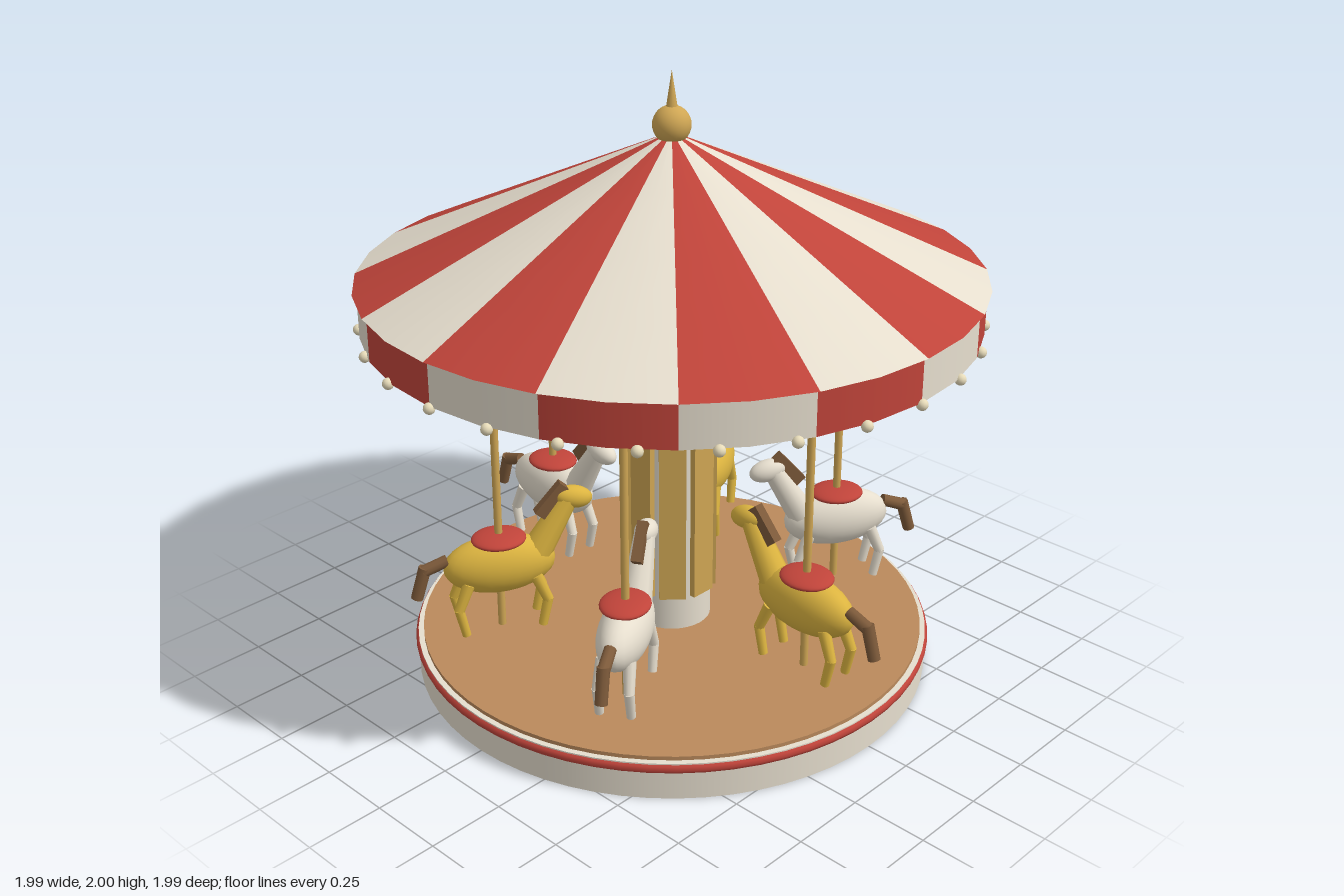
import * as THREE from 'three';

const mat = (name, color) => Object.assign(new THREE.MeshStandardMaterial({ color }), { name });
const M = {
  cream: mat('cream', 0xe6dece),
  red: mat('red', 0xc0443a),
  gold: mat('gold', 0xcfa654),
  yellow: mat('horse yellow', 0xdcb440),
  brown: mat('mane brown', 0x7d5a3a),
  wood: mat('floor wood', 0xbb8a5c),
  bulb: mat('bulb glow', 0xeee2bf),
};
const TAU = Math.PI * 2;

function add(parent, name, geo, material, x = 0, y = 0, z = 0) {
  const m = new THREE.Mesh(geo, material);
  m.name = name;
  m.position.set(x, y, z);
  parent.add(m);
  return m;
}

// Upright cylinder from y0 to y1
function drum(parent, name, r, y0, y1, material, sides = 64) {
  return add(parent, name, new THREE.CylinderGeometry(r, r, y1 - y0, sides), material, 0, (y0 + y1) / 2);
}

function ellipsoid(parent, name, material, [x, y, z], [sx, sy, sz]) {
  const m = add(parent, name, new THREE.SphereGeometry(1, 24, 16), material, x, y, z);
  m.scale.set(sx, sy, sz);
  return m;
}

// Tapered rod between two points
function limb(parent, name, material, a, b, ra, rb) {
  const p = new THREE.Vector3(...a), q = new THREE.Vector3(...b);
  const d = q.clone().sub(p);
  const m = add(parent, name, new THREE.CylinderGeometry(rb, ra, d.length(), 10), material);
  m.position.copy(p).add(q).multiplyScalar(0.5);
  m.quaternion.setFromUnitVectors(new THREE.Vector3(0, 1, 0), d.normalize());
  return m;
}

// Horse facing local +x, with its pole on the local y axis
function createHorse(coat) {
  const h = new THREE.Group();
  h.name = 'horse';
  ellipsoid(h, 'body', coat, [0, 0.41, 0], [0.185, 0.1, 0.08]);
  ellipsoid(h, 'saddle', M.red, [0, 0.5, 0], [0.09, 0.022, 0.08]);
  limb(h, 'neck', coat, [0.12, 0.43, 0], [0.235, 0.62, 0], 0.052, 0.034);
  ellipsoid(h, 'head', coat, [0.25, 0.617, 0], [0.064, 0.038, 0.036]).rotation.z = -0.2;
  const mane = add(h, 'mane', new THREE.BoxGeometry(0.13, 0.042, 0.032), M.brown, 0.178, 0.615, 0);
  mane.rotation.z = 0.85;
  // Bent tail
  limb(h, 'tailRoot', M.brown, [-0.17, 0.445, 0], [-0.25, 0.415, 0], 0.02, 0.021);
  limb(h, 'tailEnd', M.brown, [-0.243, 0.43, 0], [-0.275, 0.32, 0], 0.021, 0.02);
  // Legs with a bent knee
  for (const side of [-1, 1]) for (const end of [-1, 1]) {
    const z = side * 0.05;
    limb(h, 'upperLeg', coat, [end * 0.11, 0.37, z * 0.85], [end * 0.148, 0.277, z], 0.021, 0.017);
    limb(h, 'lowerLeg', coat, [end * 0.148, 0.285, z], [end * 0.127, 0.187, z], 0.017, 0.015);
  }
  drum(h, 'pole', 0.013, 0.18, 1.19, M.gold, 12);
  return h;
}

export function createModel() {
  const model = new THREE.Group();
  model.name = 'carousel';

  // Platform
  drum(model, 'base', 0.855, 0, 0.125, M.cream);
  const band = add(model, 'baseBand', new THREE.TorusGeometry(0.846, 0.018, 10, 64), M.red, 0, 0.106, 0);
  band.rotation.x = Math.PI / 2;
  drum(model, 'floor', 0.837, 0.12, 0.138, M.wood);

  // Centre column with eight panels
  drum(model, 'column', 0.13, 0.13, 1.23, M.cream, 32);
  for (let i = 0; i < 8; i++) {
    const a = (i / 8) * TAU;
    const p = add(model, 'columnPanel', new THREE.BoxGeometry(0.088, 0.93, 0.02), M.gold,
      Math.sin(a) * 0.136, 0.725, Math.cos(a) * 0.136);
    p.rotation.y = a;
  }

  // Horses face the column, alternating in colour
  for (let i = 0; i < 6; i++) {
    const a = (i / 6) * TAU;
    const horse = createHorse(i % 2 ? M.cream : M.yellow);
    horse.position.set(Math.cos(a) * 0.583, 0, Math.sin(a) * 0.583);
    horse.rotation.y = Math.PI - a;
    model.add(horse);
  }

  // Striped roof and counter-striped valance
  const step = TAU / 16;
  for (let i = 0; i < 16; i++) {
    const [roof, skirt] = i % 2 ? [M.cream, M.red] : [M.red, M.cream];
    add(model, 'roofStripe',
      new THREE.CylinderGeometry(0.012, 0.987, 0.445, 2, 4, true, i * step, step), roof, 0, 1.5825, 0);
    add(model, 'valancePanel',
      new THREE.CylinderGeometry(0.973, 0.973, 0.14, 2, 1, true, i * step, step), skirt, 0, 1.29, 0);
  }
  add(model, 'eave', new THREE.CylinderGeometry(0.987, 0.972, 0.006, 32, 1, true), M.red, 0, 1.357, 0);
  const ceiling = add(model, 'ceiling', new THREE.CircleGeometry(0.973, 32), M.red, 0, 1.221, 0);
  ceiling.rotation.x = Math.PI / 2;

  // Bulbs around the lower edge
  const bulb = new THREE.SphereGeometry(0.018, 12, 8);
  for (let i = 0; i < 28; i++) {
    const a = (i / 28) * TAU;
    add(model, 'bulb', bulb, M.bulb, Math.sin(a) * 0.975, 1.216, Math.cos(a) * 0.975);
  }

  // Finial
  add(model, 'finialBall', new THREE.SphereGeometry(0.06, 24, 16), M.gold, 0, 1.832, 0);
  add(model, 'finialSpike', new THREE.ConeGeometry(0.02, 0.13, 16), M.gold, 0, 1.935, 0);
  return model;
}
